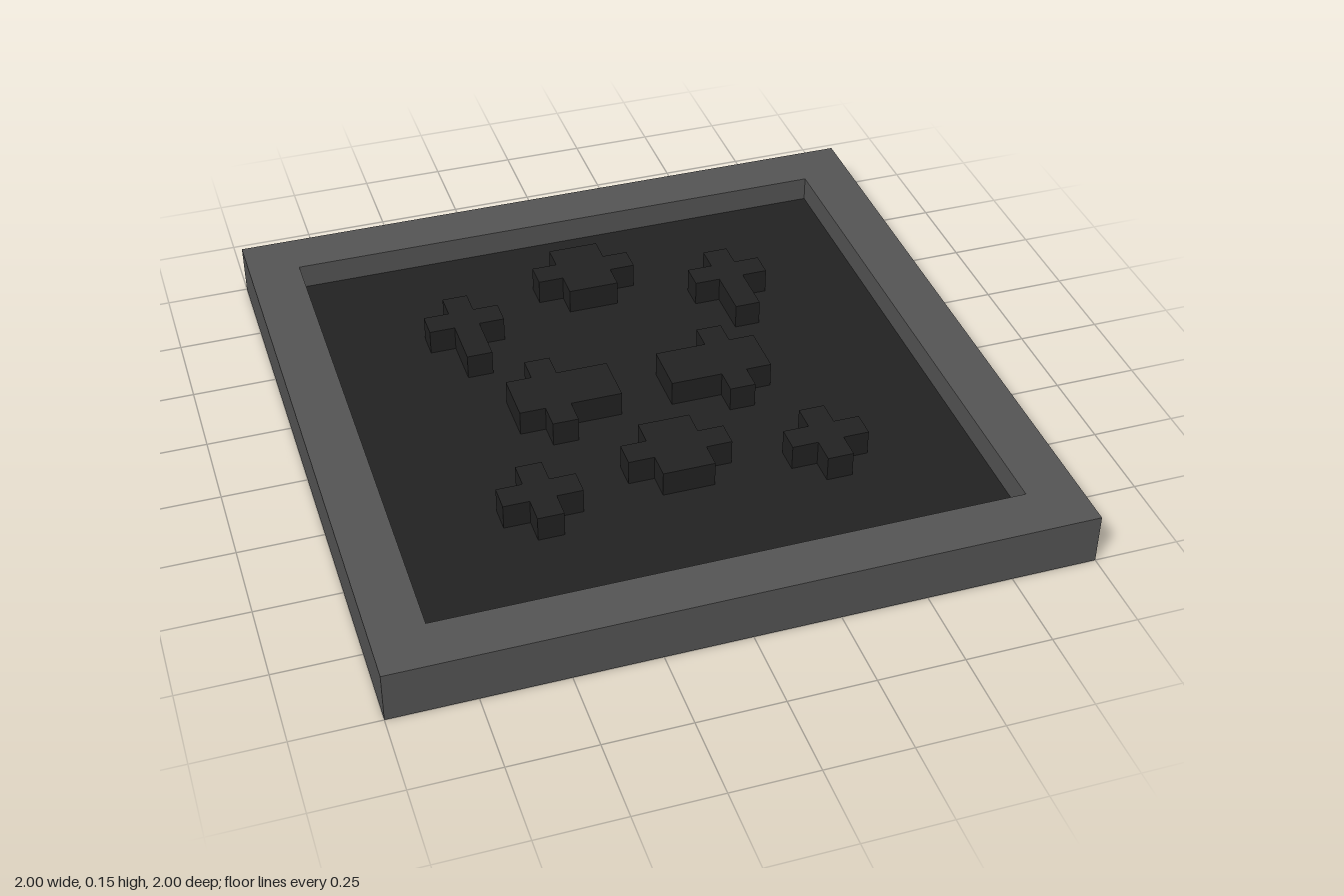
import * as THREE from 'three';

const U = 1 / 13; // one grid cell; the tile is 26 cells wide

// Upright prism from a flat outline in cells; outline y maps to -z
function prism(shape, y0, y1) {
  const geo = new THREE.ExtrudeGeometry(shape, { depth: y1 - y0, bevelEnabled: false });
  geo.rotateX(-Math.PI / 2);
  geo.translate(0, y0, 0);
  geo.scale(U, U, U);
  return geo;
}

function outline(points) {
  return new THREE.Shape(points.map(([x, z]) => new THREE.Vector2(x, -z)));
}

const square = (h) => [[-h, -h], [-h, h], [h, h], [h, -h]];

// Cross made of a vertical bar (x a..b, z c..d) and a horizontal bar (x e..f, z g..h)
function cross([a, b, c, d], [e, f, g, h]) {
  return outline([
    [a, c], [a, g], [e, g], [e, h], [a, h], [a, d],
    [b, d], [b, h], [f, h], [f, g], [b, g], [b, c],
  ]);
}

export function createModel() {
  const frameGrey = new THREE.MeshStandardMaterial({ color: 0x555555 });
  frameGrey.name = 'frameGrey';
  const panelBlack = new THREE.MeshStandardMaterial({ color: 0x222222 });
  panelBlack.name = 'panelBlack';

  const model = new THREE.Group();
  model.name = 'tile';
  const add = (name, geo, material) => {
    const mesh = new THREE.Mesh(geo, material);
    mesh.name = name;
    model.add(mesh);
  };

  // Raised square border
  const border = outline(square(13));
  border.holes.push(outline(square(11)));
  add('frame', prism(border, 0, 2), frameGrey);

  // Sunken floor
  add('floor', prism(outline(square(11)), 0, 1), panelBlack);

  // Studs on the centre line
  add('backStud', prism(cross([-1, 1, -9, -6], [-2, 2, -8, -7]), 1, 2), panelBlack);
  add('frontStud', prism(cross([-1, 1, 3, 6], [-2, 2, 4, 5]), 1, 2), panelBlack);

  // Mirrored studs
  const pairs = {
    BackStud: [[5, 6, -7, -3], [4, 7, -6, -5]],
    MiddleStud: [[3, 4, -2, 2], [1, 5, -1, 1]],
    FrontStud: [[5, 6, 4, 7], [4, 7, 5, 6]],
  };
  const mirror = ([a, b, c, d]) => [-b, -a, c, d];
  for (const [name, [v, h]] of Object.entries(pairs)) {
    add('left' + name, prism(cross(v, h), 1, 2), panelBlack);
    add('right' + name, prism(cross(mirror(v), mirror(h)), 1, 2), panelBlack);
  }
  return model;
}
